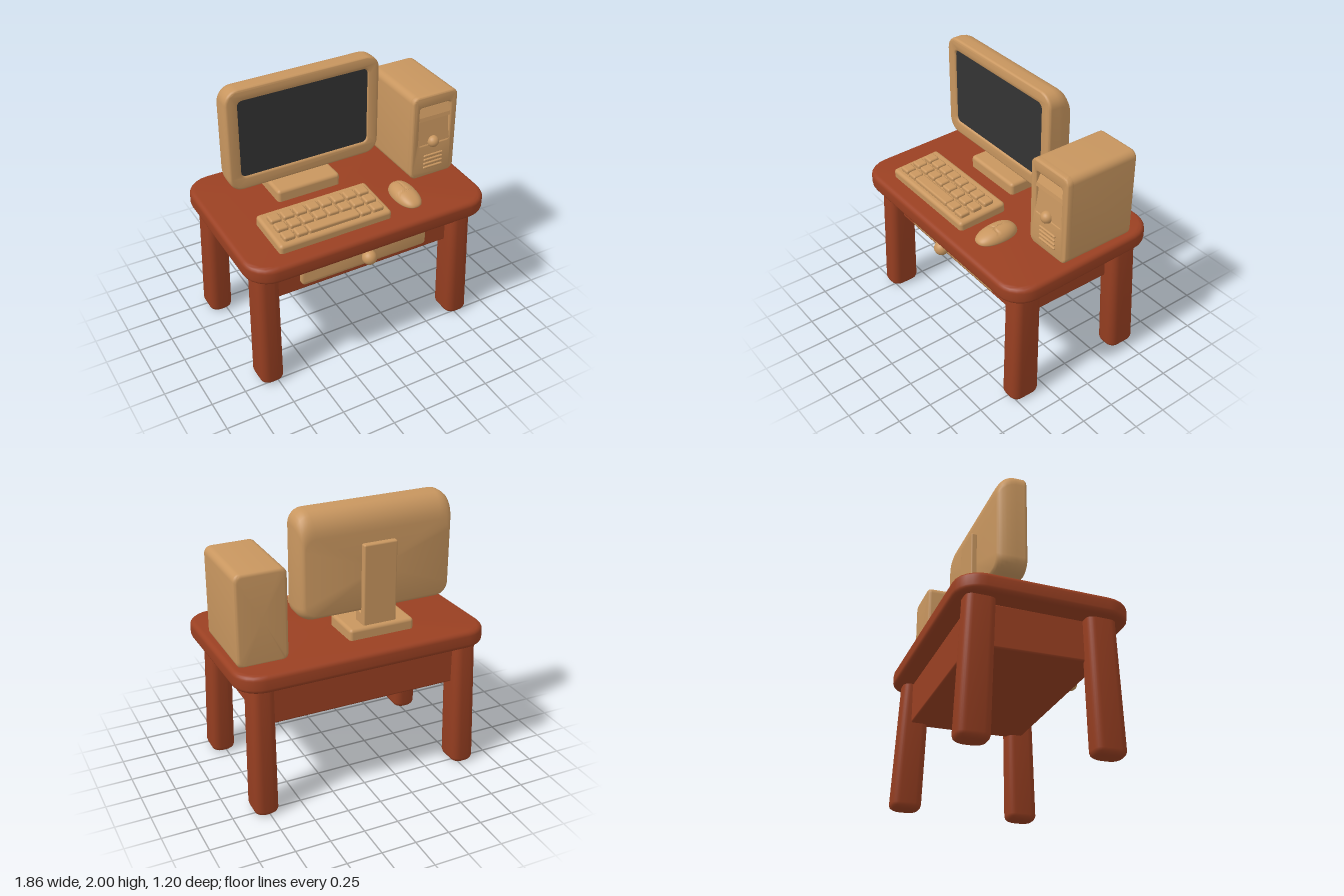
import * as THREE from 'three';
import { toCreasedNormals } from 'three/addons/utils/BufferGeometryUtils.js';
import { RoundedBoxGeometry } from 'three/addons/geometries/RoundedBoxGeometry.js';

const material = (name, color) => {
  const m = new THREE.MeshStandardMaterial({ color });
  m.name = name;
  return m;
};

// Rounded rectangle outline, counter-clockwise, as points
function outline(cx, cy, w, h, r) {
  const pts = [], n = 6;
  [[1, 1], [-1, 1], [-1, -1], [1, -1]].forEach(([sx, sy], q) => {
    for (let i = 0; i <= n; i++) {
      const a = (q + i / n) * Math.PI / 2;
      pts.push(new THREE.Vector2(cx + sx * (w / 2 - r) + r * Math.cos(a), cy + sy * (h / 2 - r) + r * Math.sin(a)));
    }
  });
  return pts;
}

// Closed skin through rounded rectangles [z, cx, cy, w, h, r], in order of rising z
function loft(sections) {
  const pos = [], idx = [], n = 28;
  for (const [z, ...rect] of sections) for (const p of outline(...rect)) pos.push(p.x, p.y, z);
  const rows = sections.length;
  for (let i = 0; i < rows - 1; i++) for (let j = 0; j < n; j++) {
    const k = (j + 1) % n, a = i * n + j, b = i * n + k;
    idx.push(a, b, b + n, a, b + n, a + n);
  }
  const first = sections[0], last = sections[rows - 1], c = rows * n;
  pos.push(first[1], first[2], first[0], last[1], last[2], last[0]);
  for (let j = 0; j < n; j++) {
    const k = (j + 1) % n, o = (rows - 1) * n;
    idx.push(c, k, j, c + 1, o + j, o + k);
  }
  const g = new THREE.BufferGeometry();
  g.setAttribute('position', new THREE.Float32BufferAttribute(pos, 3));
  g.setIndex(idx);
  return toCreasedNormals(g, 0.7);
}

// Slab between z0 and z1 whose ends are rounded; an end is { x, top, bottom, depth }
const even = (e) => ({ x: e, top: e, bottom: e, depth: e });
function slab(cx, cy, w, h, r, z0, z1, back, front) {
  const rows = [];
  const ring = (e, k, z) => rows.push([z, cx, cy + (e.bottom - e.top) * k / 2, w - 2 * e.x * k,
    h - (e.top + e.bottom) * k, Math.max(r - e.x * k * 0.5, 0.01)]);
  const n = 6;
  for (let i = 0; i <= n; i++) {
    const a = i / n * Math.PI / 2;
    ring(back, 1 - Math.sin(a), z0 + back.depth * (1 - Math.cos(a)));
  }
  for (let i = 0; i <= n && front; i++) {
    const a = i / n * Math.PI / 2;
    ring(front, 1 - Math.cos(a), z1 - front.depth * (1 - Math.sin(a)));
  }
  if (!front) ring(back, 0, z1);
  return loft(rows);
}

// Plate with a bevelled front, optionally pierced; its rear bevel sinks into what lies behind
function plate(rect, hole, zBack, zFront, b) {
  const shape = new THREE.Shape(outline(...rect));
  if (hole) shape.holes.push(new THREE.Path(outline(...hole)));
  const g = new THREE.ExtrudeGeometry(shape, { depth: zFront - b - zBack, bevelEnabled: true,
    bevelSize: b, bevelThickness: b, bevelOffset: -b, bevelSegments: 4 });
  return toCreasedNormals(g.translate(0, 0, zBack), 0.7);
}

export function createModel() {
  const wood = material('red brown wood', 0x9a4022);
  const tan = material('tan', 0xc8965f);
  const dark = material('screen charcoal', 0x333333);
  const model = new THREE.Group();
  model.name = 'computerDesk';

  const group = (name, parent = model) => {
    const g = new THREE.Group();
    g.name = name;
    parent.add(g);
    return g;
  };
  const add = (parent, name, geo, mat, x = 0, y = 0, z = 0) => {
    const m = new THREE.Mesh(geo, mat);
    m.name = name;
    m.position.set(x, y, z);
    parent.add(m);
    return m;
  };
  const block = (w, h, d, r) => new RoundedBoxGeometry(w, h, d, 3, r);

  // Desk
  const desk = group('desk');
  const top = slab(0, 0, 1.86, 1.2, 0.18, -0.065, 0.065, even(0.035), even(0.035)).rotateX(-Math.PI / 2);
  add(desk, 'tableTop', top, wood, 0, 1.01, 0).rotation.x = 0.028;
  add(desk, 'apron', block(1.5, 0.31, 0.88, 0.015), wood, -0.01, 0.805, -0.03);

  // Splayed legs: x and z at the top, then at the foot
  [[0.75, 0.395, 0.765, 0.42], [-0.775, 0.395, -0.785, 0.42],
    [0.75, -0.43, 0.765, -0.47], [-0.775, -0.43, -0.785, -0.47]].forEach(([tx, tz, fx, fz]) => {
    const rows = [[0, 0.055], [0.008, 0.03], [0.02, 0.01], [0.04, 0]].map(
      ([y, inset]) => [y, fx, -fz, 0.17 - inset, 0.22 - inset, 0.055]);
    rows.push([0.97, tx, -tz, 0.16, 0.205, 0.05]);
    add(desk, tz > 0 ? 'frontLeg' : 'backLeg', loft(rows).rotateX(-Math.PI / 2), wood);
  });

  add(desk, 'drawerFront', plate([-0.013, 0.82, 0.995, 0.225, 0.03], null, 0.39, 0.45, 0.02), tan);
  add(desk, 'drawerKnob', new THREE.SphereGeometry(0.053, 24, 16), tan, -0.025, 0.82, 0.515);
  add(desk, 'knobStem', new THREE.CylinderGeometry(0.02, 0.02, 0.08, 16).rotateX(Math.PI / 2), tan, -0.025, 0.82, 0.46);

  // Monitor
  const monitor = group('monitor');
  const mx = -0.188, my = 1.6175;
  add(monitor, 'monitorShell', slab(mx, my, 1.155, 0.765, 0.1, -0.295, -0.113,
    { x: 0.045, top: 0.17, bottom: 0.05, depth: 0.13 }, null), tan);
  add(monitor, 'bezel', plate([mx, my, 1.155, 0.765, 0.1], [mx, 1.6225, 0.975, 0.575, 0.035], -0.114, -0.085, 0.018), tan);
  add(monitor, 'screen', new THREE.ExtrudeGeometry(new THREE.Shape(outline(mx, 1.6225, 1.0, 0.6, 0.04)),
    { depth: 0.008, bevelEnabled: false }), dark, 0, 0, -0.105);
  add(monitor, 'neck', block(0.25, 0.64, 0.05, 0.012), tan, -0.185, 1.43, -0.31);
  add(monitor, 'neckFoot', block(0.25, 0.12, 0.13, 0.012), tan, -0.185, 1.19, -0.27);
  add(monitor, 'standBase', block(0.49, 0.11, 0.325, 0.025), tan, -0.19, 1.11, -0.203);

  // Tower case
  const tower = group('towerCase');
  const tx = 0.7025;
  add(tower, 'caseBody', slab(tx, 1.4, 0.365, 0.66, 0.05, -0.412, 0.12, even(0.025), null), tan);
  add(tower, 'caseFront', plate([tx, 1.4, 0.365, 0.66, 0.05], [tx, 1.49, 0.25, 0.3, 0.015], 0.12, 0.165, 0.015), tan);
  const bays = new THREE.Shape([[0.11, 1.32], [0.164, 1.34], [0.142, 1.528], [0.163, 1.532],
    [0.158, 1.56], [0.13, 1.62], [0.11, 1.65]].map(([z, y]) => new THREE.Vector2(z, y)));
  const bayGeo = new THREE.ExtrudeGeometry(bays, { depth: 0.27, bevelEnabled: false }).rotateY(-Math.PI / 2);
  add(tower, 'driveBays', bayGeo, tan, tx + 0.135);
  add(tower, 'powerButton', new THREE.SphereGeometry(0.043, 20, 14), tan, 0.695, 1.355, 0.168);
  for (let i = 0; i < 4; i++)
    add(tower, 'ventBar', block(0.16, 0.018, 0.02, 0.008), tan, 0.703, 1.148 + i * 0.032, 0.166);

  // Keyboard, raised toward the back
  const keyboard = group('keyboard');
  keyboard.position.set(-0.255, 1.09, 0.29);
  keyboard.rotation.x = 0.06;
  add(keyboard, 'keyboardBase', block(0.85, 0.09, 0.38, 0.025), tan);
  const key = (x, z, w) => add(keyboard, 'key', block(w, 0.04, 0.08, 0.014), tan, x, 0.055, z);
  for (let row = 0; row < 3; row++) for (let col = 0; col < 8; col++) {
    if (row < 2 || col < 2 || col > 5) key(-0.335 + col * 0.0962, -0.085 + row * 0.099, 0.084);
  }
  key(0.002, 0.113, 0.385);

  // Mouse: a flattened dome with grooves between palm rest and buttons
  const mouseGeo = new THREE.SphereGeometry(1, 64, 40);
  const p = mouseGeo.attributes.position;
  const swell = (v, e) => Math.sign(v) * Math.abs(v) ** e;
  for (let i = 0; i < p.count; i++) {
    const x = swell(p.getX(i), 0.85), z = swell(p.getZ(i), 0.9);
    let y = p.getY(i);
    if (y > 0 && ((Math.abs(x) < 0.06 && z < 0.14) || Math.abs(z - 0.14) < 0.04)) y *= 0.92;
    y = y > 0 ? y * (1 - 0.2 * z) : y * 0.45;
    p.setXYZ(i, x * 0.088, y * 0.07, z * 0.158);
  }
  mouseGeo.computeVertexNormals();
  add(model, 'mouse', mouseGeo, tan, 0.368, 1.088, 0.328);

  return model;
}
